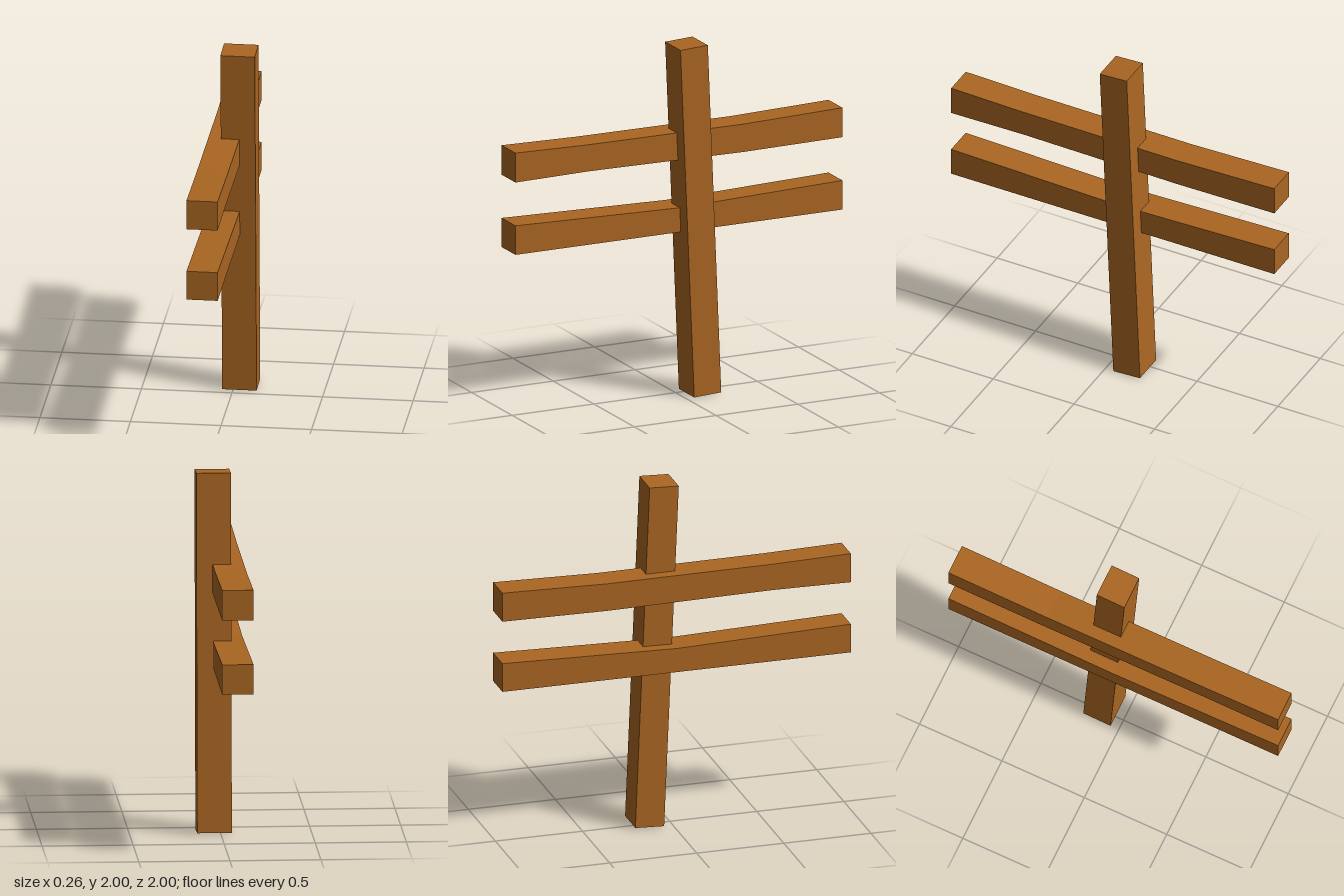
import * as THREE from 'three';

const wood = new THREE.MeshStandardMaterial({ color: 0xaa6622, flatShading: true });

// Beam with a side outline of [z, y] points, extruded across x
function beam(name, outline, xMin, xMax) {
  const shape = new THREE.Shape(outline.map(([z, y]) => new THREE.Vector2(z, y)));
  const geometry = new THREE.ExtrudeGeometry(shape, { depth: xMax - xMin, bevelEnabled: false });
  geometry.rotateY(-Math.PI / 2).translate(xMax, 0, 0);
  const mesh = new THREE.Mesh(geometry, wood);
  mesh.name = name;
  return mesh;
}

export function createModel() {
  const group = new THREE.Group();
  group.name = 'fence';

  // Slightly leaning post
  group.add(beam('post', [[-0.05, 0], [-0.215, 0.008], [-0.133, 2], [0.034, 1.992]], -0.06, 0.13));

  // Two rails with gently sagging edges
  group.add(beam('upperRail', [
    [1, 1.34], [0.55, 1.346], [-0.4, 1.334], [-1, 1.34],
    [-1, 1.508], [-0.4, 1.493], [0.55, 1.498], [1, 1.508],
  ], -0.13, 0.042));
  group.add(beam('lowerRail', [
    [1, 0.927], [-1, 0.927], [-1, 1.093], [0, 1.066], [1, 1.093],
  ], -0.13, 0.042));

  return group;
}
